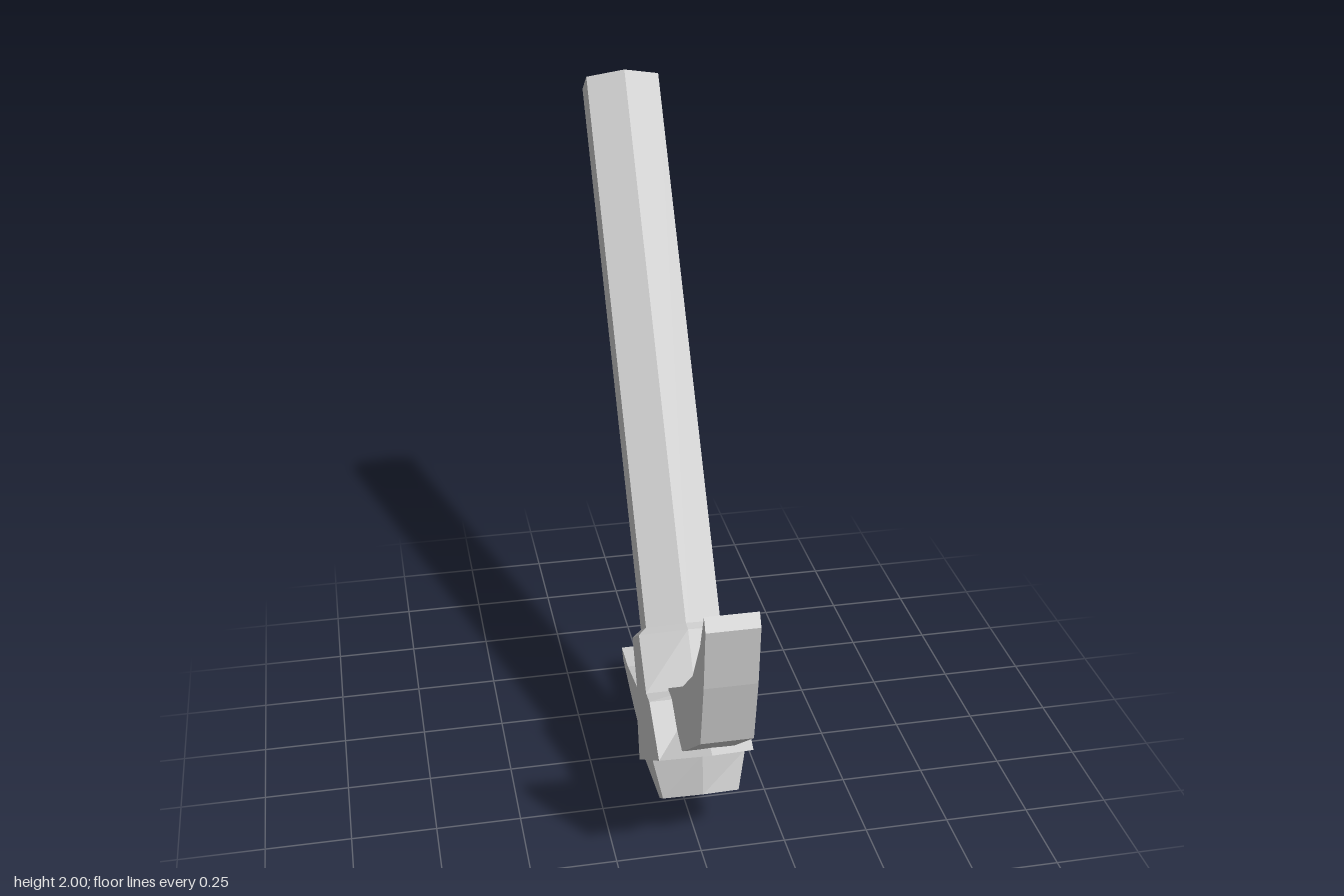
import * as THREE from 'three';

const material = new THREE.MeshStandardMaterial({ color: 0xcccccc, flatShading: true });

// Six-sided ring: ridges at z = +-ridge, side corners at x = +-half, z = +-side
function hexRing([y, half, ridge, side]) {
  return [[0, ridge], [half, side], [half, -side], [0, -ridge], [-half, -side], [-half, side]]
    .map(([x, z]) => [x, y, z]);
}

// Skin stacked rings (bottom to top) and close both ends
function loft(rows) {
  const rings = rows.map(hexRing);
  const pos = [];
  const tri = (...corners) => corners.forEach(c => pos.push(...c));
  for (let r = 0; r < rings.length - 1; r++) {
    const lo = rings[r], hi = rings[r + 1];
    for (let i = 0; i < 6; i++) {
      const j = (i + 1) % 6;
      tri(lo[i], lo[j], hi[j]);
      tri(lo[i], hi[j], hi[i]);
    }
  }
  const bottom = rings[0], top = rings[rings.length - 1];
  for (let i = 1; i < 5; i++) {
    tri(top[0], top[i], top[i + 1]);
    tri(bottom[0], bottom[i + 1], bottom[i]);
  }
  const g = new THREE.BufferGeometry();
  g.setAttribute('position', new THREE.Float32BufferAttribute(pos, 3));
  g.computeVertexNormals();
  return g;
}

function addPart(parent, name, geometry) {
  const mesh = new THREE.Mesh(geometry, material);
  mesh.name = name;
  parent.add(mesh);
}

export function createModel() {
  const model = new THREE.Group();
  model.name = 'pickaxe';
  const tilted = new THREE.Group();
  tilted.name = 'tiltedPickaxe';
  tilted.position.set(0, 0.305, 0.375);
  tilted.rotation.x = THREE.MathUtils.degToRad(-35);
  model.add(tilted);

  // Hexagonal handle
  addPart(tilted, 'handle', loft([
    [0.2, 0.11, 0.098, 0.052],
    [2.0, 0.11, 0.098, 0.052],
  ]));

  // Collar: tapered butt, wide skirt around the blade, sleeve around the handle
  addPart(tilted, 'collar', loft([
    [-0.152, 0.111, 0.068, 0.032],
    [-0.04, 0.135, 0.13, 0.072],
    [-0.04, 0.135, 0.284, 0.193],
    [0.125, 0.135, 0.157, 0.129],
    [0.15, 0.135, 0.123, 0.085],
    [0.318, 0.135, 0.122, 0.066],
    [0.338, 0.11, 0.098, 0.052],
  ]));

  // Curved double blade, half profile mirrored front to back
  const half = [
    [0.25, -0.02], [0.526, 0], [0.664, 0.14], [0.777, 0.276], [0.781, 0.317],
    [0.683, 0.25], [0.523, 0.178], [0.347, 0.156], [0.09, 0.158],
  ];
  const outline = [...half, ...half.map(([u, v]) => [-u, v]).reverse()];
  const shape = new THREE.Shape(outline.map(([u, v]) => new THREE.Vector2(u, v)));
  const blade = new THREE.ExtrudeGeometry(shape, { depth: 0.144, bevelEnabled: false });
  blade.translate(0, 0, -0.072);
  blade.rotateY(-Math.PI / 2);
  addPart(tilted, 'blade', blade);

  return model;
}
